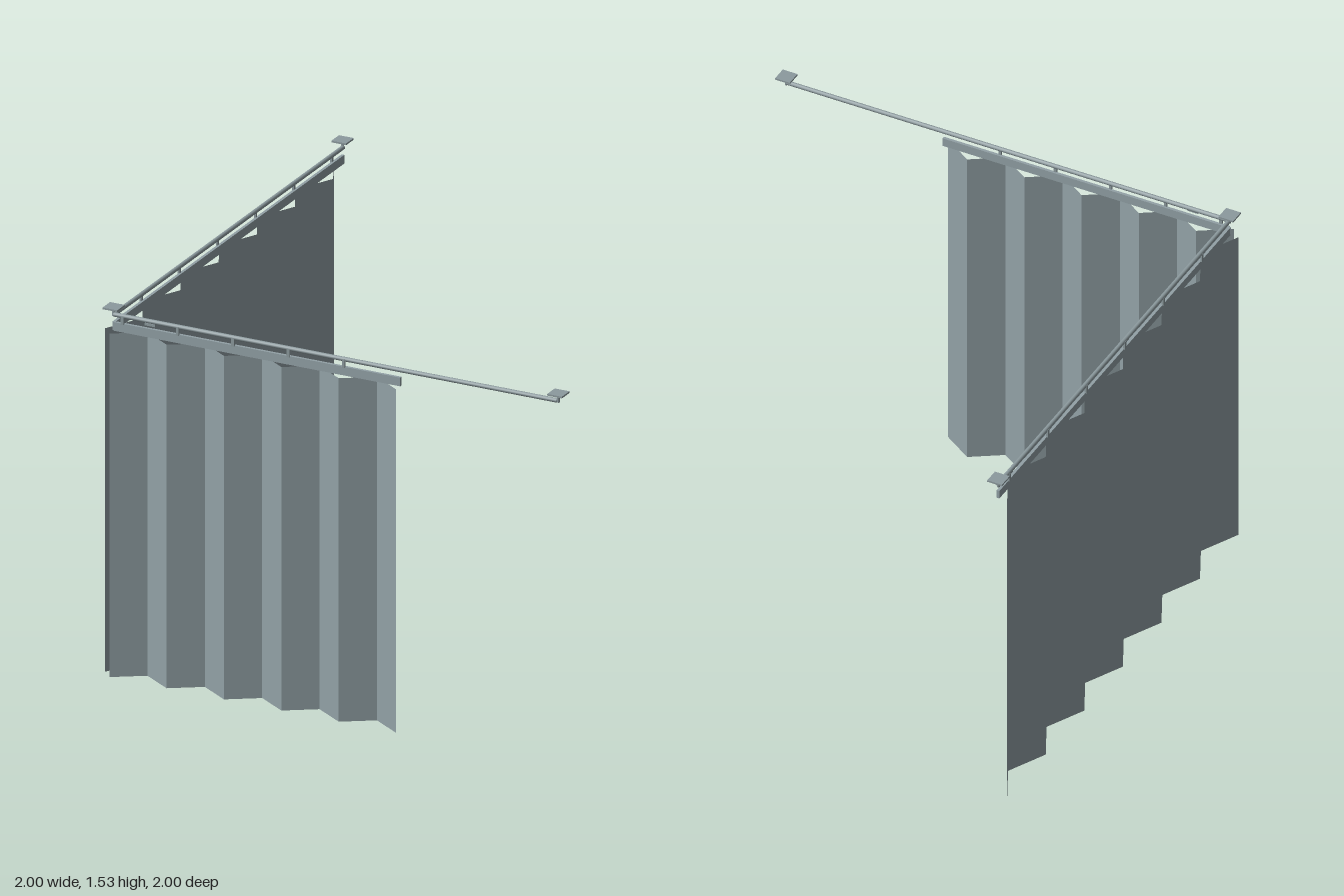
import * as THREE from 'three';

const fabric = new THREE.MeshStandardMaterial({ color: 0x92a1a6, side: THREE.DoubleSide });
fabric.name = 'grey fabric';
const metal = new THREE.MeshStandardMaterial({ color: 0x8c9a9e });
metal.name = 'grey metal';

const CORNER = 0.96, RAIL_Y = 1.496, CLOTH_TOP = 1.43, FOLD = 0.04;

function add(parent, name, geometry, material, x, y, z) {
  const mesh = new THREE.Mesh(geometry, material);
  mesh.name = name;
  mesh.position.set(x, y, z);
  parent.add(mesh);
  return mesh;
}

// Zero-thickness zigzag sheet running along +x from the origin
function pleats(length, count, outward) {
  const plane = new THREE.PlaneGeometry(length, CLOTH_TOP, count, 1);
  plane.translate(length / 2, CLOTH_TOP / 2, 0);
  const p = plane.attributes.position;
  for (let i = 0; i < p.count; i++) {
    const column = i % (count + 1);
    p.setZ(i, outward * (column % 2 ? -FOLD : FOLD));
  }
  const flat = plane.toNonIndexed();
  flat.computeVertexNormals();
  return flat;
}

// One rail with its curtain, heading strip and hooks, built along +x
function createArm(name, { rail, cloth, folds, firstHook, hookStep, hooks, outward }) {
  const arm = new THREE.Group();
  arm.name = name;
  const bar = new THREE.CylinderGeometry(0.009, 0.009, rail, 12).rotateZ(Math.PI / 2);
  add(arm, 'rail', bar, metal, rail / 2, RAIL_Y, 0);
  add(arm, 'curtain', pleats(cloth, folds, outward), fabric, 0, 0, 0);
  add(arm, 'headingStrip', new THREE.BoxGeometry(cloth, 0.036, 0.012), fabric, cloth / 2, 1.448, 0);
  for (let i = 0; i < hooks; i++) {
    add(arm, 'hook', new THREE.BoxGeometry(0.012, 0.036, 0.008), metal,
      firstHook + i * hookStep, 1.48, outward * 0.006);
  }
  return arm;
}

// Ceiling plate with a short stem down to the rail
function createBracket(x, z) {
  const bracket = new THREE.Group();
  bracket.name = 'ceilingBracket';
  add(bracket, 'plate', new THREE.BoxGeometry(0.064, 0.007, 0.064), metal, 0, 1.5245, 0);
  add(bracket, 'stem', new THREE.CylinderGeometry(0.006, 0.006, 0.036, 8), metal, 0, 1.506, 0);
  bracket.position.set(x, 0, z);
  return bracket;
}

export function createModel() {
  const model = new THREE.Group();
  model.name = 'cornerCurtain';

  // Front run, partly drawn
  const front = createArm('frontRun', {
    rail: 1.925, cloth: 1.245, folds: 10, firstHook: 0.04, hookStep: 0.24, hooks: 5, outward: 1,
  });
  front.position.set(-CORNER, 0, CORNER);
  add(front, 'stopClip', new THREE.BoxGeometry(0.045, 0.01, 0.008), metal, 0.16, 1.484, 0.005);

  // Side run, fully drawn
  const side = createArm('sideRun', {
    rail: 1.925, cloth: 1.925, folds: 12, firstHook: 0.24, hookStep: 0.3205, hooks: 6, outward: -1,
  });
  side.position.set(-CORNER, 0, CORNER);
  side.rotation.y = Math.PI / 2;

  model.add(front, side);

  // Brackets at the corner and at both rail ends
  for (const [x, z] of [[-0.963, 0.957], [0.967, 0.957], [-0.963, -0.967]]) {
    model.add(createBracket(x, z));
  }
  return model;
}
